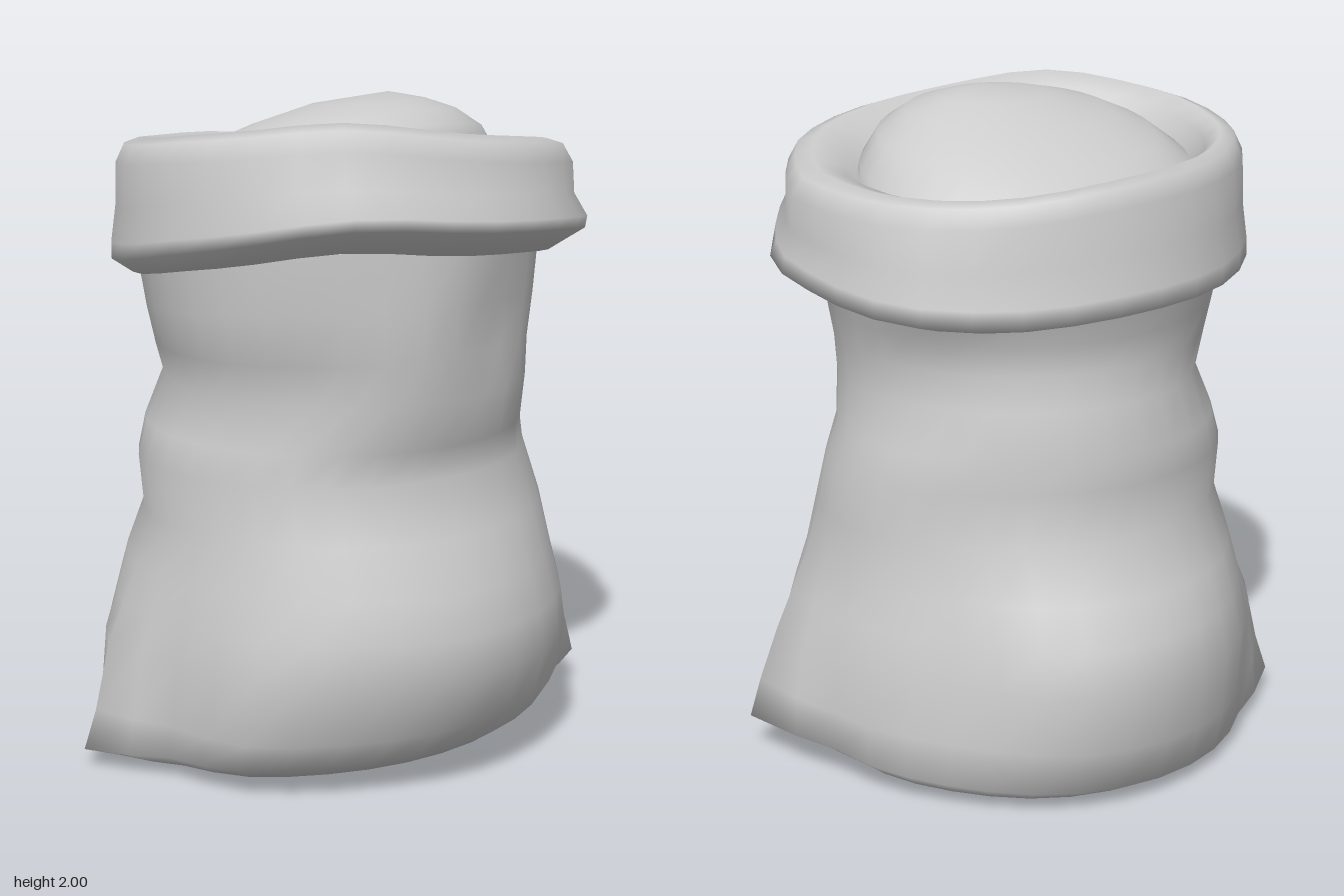
import * as THREE from 'three';

const SEG = 32;
const TIP = Math.PI / 16; // angle of the pinched bottom corner (the other lies opposite)

// Local dents (negative) and bulges (positive): angle, height, amount, angular width, height width
const FOLDS = [
  // body
  [1.25, 1.32, -0.03, 0.22, 0.14], [1.75, 1.35, 0.015, 0.25, 0.15],
  [2.4, 1.2, -0.025, 0.3, 0.12], [2.75, 0.85, -0.02, 0.3, 0.1],
  [0.6, 1.1, -0.02, 0.2, 0.3], [5.3, 0.95, -0.02, 0.35, 0.12],
  [5.45, 0.38, -0.07, 0.4, 0.3], [2.55, 0.25, 0.04, 0.25, 0.2],
  // cuff
  [0.28, 1.72, -0.03, 0.13, 0.2], [0.1, 1.72, 0.03, 0.12, 0.12],
  [5.6, 1.62, 0.03, 0.3, 0.16], [0.15, 1.53, 0.025, 0.2, 0.06],
];

// Rises along the cuff: angle, amount, angular width
const LIFTS = [[2.15, 0.03, 0.4], [4.6, 0.025, 0.5], [3.3, -0.01, 0.3]];

const angleGap = (a, b) => Math.abs(Math.atan2(Math.sin(a - b), Math.cos(a - b)));
const bell = (d, w) => Math.exp(-((d / w) ** 2));

// One point of a ring: y, front rise, left rise, x min, x max, z max, z min, corner tip length
function ringPoint([y, rise, lean, x0, x1, z1, z0, tip = 0], t, folded, lifted) {
  const c = Math.cos(t), s = Math.sin(t);
  const gap = Math.min(angleGap(t, TIP), angleGap(t, TIP + Math.PI));
  const corner = tip * Math.pow(Math.max(0, 1 - gap / 0.42), 1.3);
  let push = corner, lift = 0;
  if (folded) {
    for (const [a, h, amount, wa, wh] of FOLDS) push += amount * bell(angleGap(t, a), wa) * bell(y - h, wh);
  }
  if (lifted) {
    for (const [a, amount, w] of LIFTS) lift += amount * bell(angleGap(t, a), w);
  }
  return new THREE.Vector3(
    (x0 + x1) / 2 + ((x1 - x0) / 2 + push) * c,
    y + rise * s + lean * c + lift,
    (z0 + z1) / 2 + ((z1 - z0) / 2 + push) * s + corner * 0.3
  );
}

// Skin a stack of rings; an optional pole closes the start or the end
function skin(name, rings, { start, end, folded = true, lifted = false }) {
  const pos = [], index = [];
  for (const r of rings) {
    for (let j = 0; j < SEG; j++) pos.push(...ringPoint(r, (j / SEG) * Math.PI * 2, folded, lifted).toArray());
  }
  for (let i = 0; i < rings.length - 1; i++) {
    for (let j = 0; j < SEG; j++) {
      const a = i * SEG + j, b = i * SEG + ((j + 1) % SEG);
      index.push(a, a + SEG, b, b, a + SEG, b + SEG);
    }
  }
  const pole = (p, base, up) => {
    const k = pos.length / 3;
    pos.push(...p);
    for (let j = 0; j < SEG; j++) {
      const a = base + j, b = base + ((j + 1) % SEG);
      if (up) index.push(a, k, b); else index.push(a, b, k);
    }
  };
  if (start) pole(start, 0, false);
  if (end) pole(end, (rings.length - 1) * SEG, true);
  const g = new THREE.BufferGeometry();
  g.setAttribute('position', new THREE.Float32BufferAttribute(pos, 3));
  g.setIndex(index);
  g.computeVertexNormals();
  const mesh = new THREE.Mesh(g, new THREE.MeshStandardMaterial({ color: 0xcccccc, side: THREE.DoubleSide }));
  mesh.name = name;
  return mesh;
}

export function createModel() {
  const group = new THREE.Group();
  group.name = 'openSack';

  // Slumped cloth body with two pinched bottom corners
  group.add(skin('sackBody', [
    [0.04, 0.03, 0.01, -0.45, 0.42, 0.38, -0.42, 0.04],
    [0.037, 0.035, 0.01, -0.64, 0.62, 0.52, -0.6, 0.1],
    [0.085, 0.03, 0.02, -0.69, 0.69, 0.58, -0.69, 0.165],
    [0.2, 0.01, 0.02, -0.7, 0.7, 0.66, -0.725, 0.115],
    [0.38, 0, 0, -0.7, 0.69, 0.715, -0.75, 0.065],
    [0.5, 0, 0, -0.68, 0.66, 0.71, -0.71, 0.04],
    [0.62, 0, 0, -0.665, 0.63, 0.675, -0.65, 0.02],
    [0.77, 0, 0, -0.64, 0.61, 0.61, -0.55],
    [0.93, 0, 0, -0.645, 0.595, 0.54, -0.545],
    [1.03, 0, 0, -0.615, 0.55, 0.57, -0.55],
    [1.17, 0, 0, -0.565, 0.53, 0.6, -0.515],
    [1.28, 0.01, 0, -0.61, 0.535, 0.6, -0.485],
    [1.4, 0.04, -0.01, -0.635, 0.56, 0.6, -0.5],
    [1.52, 0.09, -0.03, -0.65, 0.58, 0.6, -0.52],
  ], { start: [-0.02, 0.04, -0.02] }));

  // Rolled cuff: underside, flared hem, outer face, rounded top, inner slope
  group.add(skin('rolledCuff', [
    [1.53, 0.09, -0.03, -0.62, 0.55, 0.57, -0.48],
    [1.5, 0.085, -0.03, -0.67, 0.61, 0.63, -0.54],
    [1.55, 0.11, -0.03, -0.73, 0.71, 0.73, -0.625],
    [1.595, 0.1, -0.03, -0.735, 0.7, 0.75, -0.615],
    [1.68, 0.08, -0.04, -0.72, 0.68, 0.695, -0.59],
    [1.79, 0.06, -0.05, -0.72, 0.68, 0.68, -0.575],
    [1.845, 0.06, -0.05, -0.69, 0.65, 0.65, -0.555],
    [1.86, 0.06, -0.05, -0.64, 0.6, 0.6, -0.52],
    [1.83, 0.06, -0.04, -0.59, 0.52, 0.51, -0.47],
    [1.74, 0.06, -0.03, -0.55, 0.45, 0.43, -0.43],
  ], { lifted: true }));

  // Broad domed contents filling the mouth
  group.add(skin('contents', [
    [1.72, 0.05, -0.02, -0.57, 0.48, 0.46, -0.45],
    [1.79, 0.08, -0.02, -0.55, 0.46, 0.46, -0.42],
    [1.87, 0.06, -0.01, -0.46, 0.39, 0.43, -0.31],
    [1.93, 0.035, 0, -0.35, 0.29, 0.36, -0.15],
    [1.975, 0.01, 0, -0.18, 0.18, 0.27, 0],
  ], { end: [0.06, 2.0, 0.15], folded: false }));

  return group;
}
